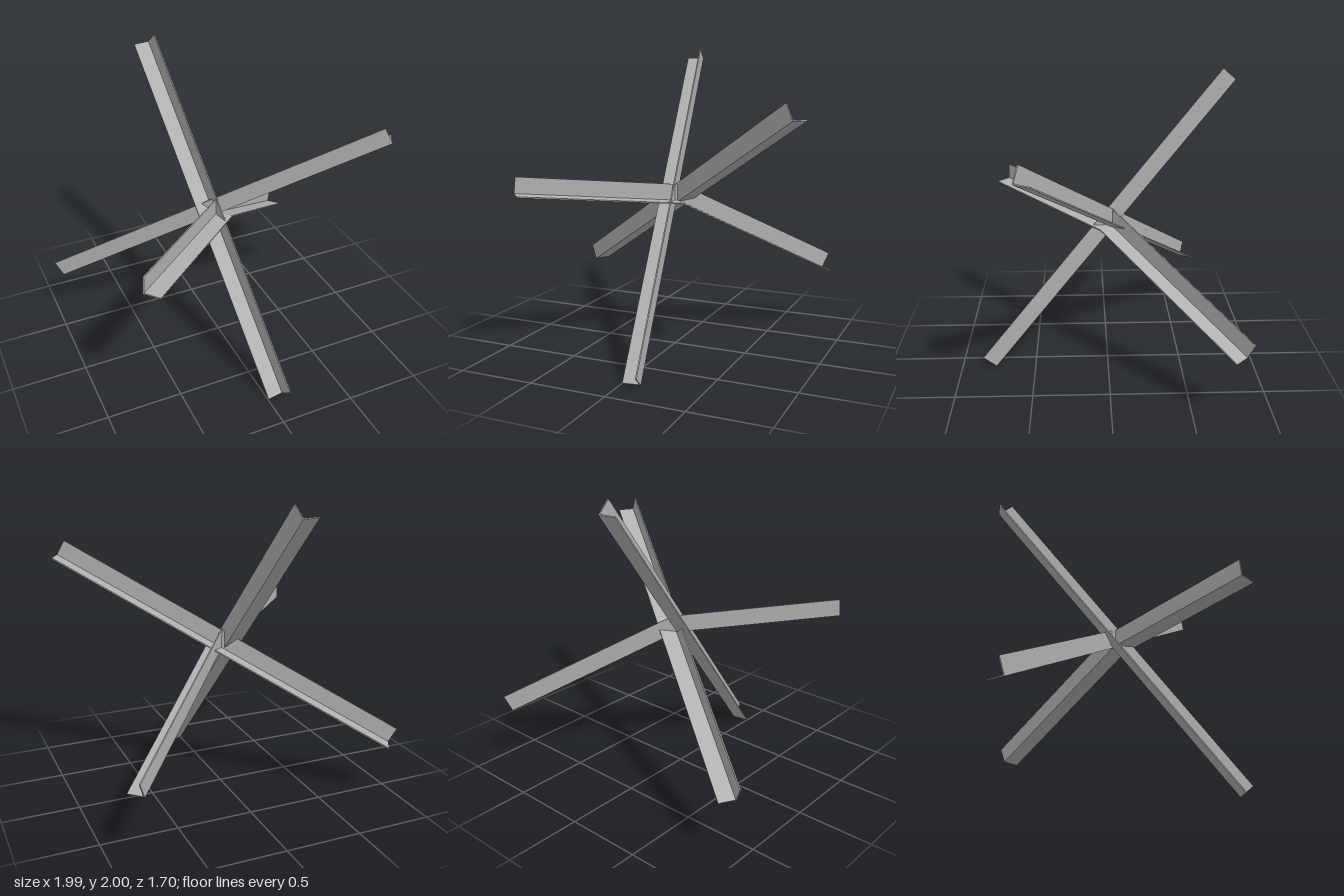
import * as THREE from 'three';

const T = 0.008; // steel thickness
const V = (a) => new THREE.Vector3(...a);

// Angle-iron beam swept through stations [corner, flangeA, flangeB]
function angleBeam(name, stations, material) {
  let st = stations.map((s) => s.map(V));
  const axis = st[st.length - 1][0].clone().sub(st[0][0]);
  if (st[0][1].clone().cross(st[0][2]).dot(axis) < 0) st = st.map(([k, a, b]) => [k, b, a]);

  // L-shaped section at each station
  const rings = st.map(([k, a, b]) => {
    const ta = a.clone().setLength(T), tb = b.clone().setLength(T);
    return [[], [a], [a, tb], [ta, tb], [b, ta], [b]]
      .map((offsets) => offsets.reduce((p, o) => p.add(o), k.clone()));
  });

  const pos = [];
  const tri = (...pts) => pts.forEach((p) => pos.push(p.x, p.y, p.z));
  for (let r = 0; r < rings.length - 1; r++) {
    for (let i = 0; i < 6; i++) {
      const j = (i + 1) % 6, p = rings[r], q = rings[r + 1];
      tri(p[i], p[j], q[j]);
      tri(p[i], q[j], q[i]);
    }
  }
  // End caps, fanned from the inner corner
  const first = rings[0], last = rings[rings.length - 1];
  for (const [i, j] of [[4, 5], [5, 0], [0, 1], [1, 2]]) {
    tri(first[3], first[j], first[i]);
    tri(last[3], last[i], last[j]);
  }
  const geometry = new THREE.BufferGeometry();
  geometry.setAttribute('position', new THREE.Float32BufferAttribute(pos, 3));
  geometry.computeVertexNormals();
  const mesh = new THREE.Mesh(geometry, material);
  mesh.name = name;
  return mesh;
}

export function createModel() {
  const steel = new THREE.MeshStandardMaterial({ color: 0xb0b0b0 });
  steel.name = 'steel';
  const group = new THREE.Group();
  group.name = 'crossedBeamObstacle';

  // Steep beam leaning backwards
  const uA = [-0.114, 0, 0.017], uB = [0.013, 0.073, 0.086];
  group.add(angleBeam('uprightBeam', [
    [[-0.135, 1.927, -0.83], uA, uB],
    [[0.117, 0.004, 0.768], uA, uB],
  ], steel));

  // Sloping beam rising to the front left
  const sA = [-0.048, 0.099, -0.027], sB = [0.058, -0.001, -0.099];
  group.add(angleBeam('slopingBeam', [
    [[0.937, 1.568, 0.538], sA, sB],
    [[-0.949, 0.371, -0.605], sA, sB],
  ], steel));

  // Bent beam, with a mitred kink at the crossing
  group.add(angleBeam('bentBeam', [
    [[-0.785, 1.08, 0.707], [0.008, 0.112, -0.007], [0.079, -0.005, 0.081]],
    [[0.003, 0.98, -0.033], [0.02, 0.112, -0.02], [0.079, -0.004, 0.081]],
    [[0.805, 0.43, -0.81], [0.038, 0.103, -0.037], [0.08, -0.002, 0.08]],
  ], steel));

  return group;
}
